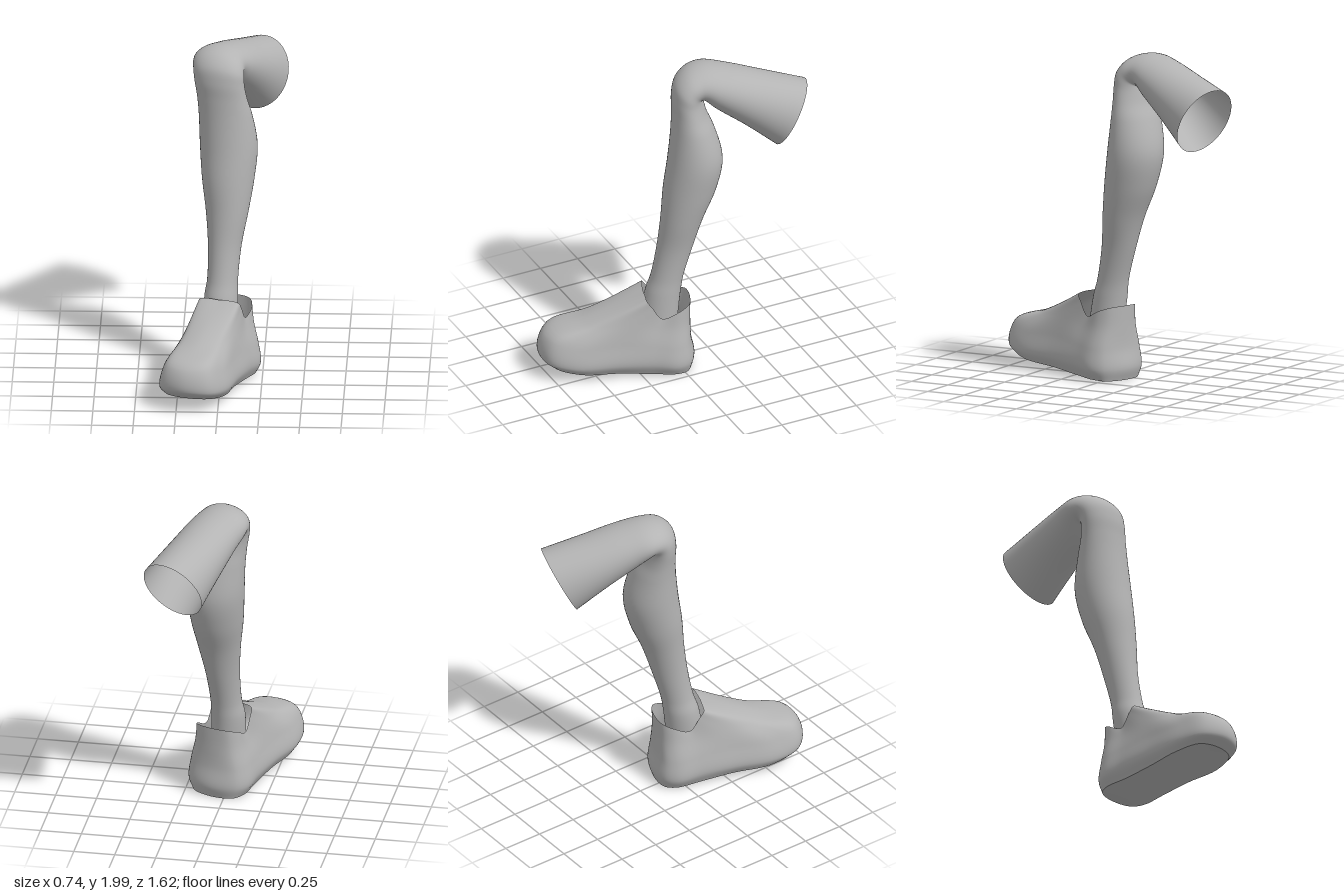
import * as THREE from 'three';

const grey = new THREE.MeshStandardMaterial({ color: 0xb4b4b4, side: THREE.DoubleSide });
grey.name = 'plain grey';

// Smooth skin through closed rings of points that all have the same count
function loft(rings, steps) {
  const n = rings[0].length, rows = (rings.length - 1) * steps;
  const columns = rings[0].map((_, j) =>
    new THREE.CatmullRomCurve3(rings.map((r) => r[j]), false, 'centripetal'));
  const pos = [], index = [];
  for (let i = 0; i <= rows; i++) {
    for (const column of columns) pos.push(...column.getPoint(i / rows).toArray());
  }
  for (let i = 0; i < rows; i++) {
    for (let j = 0; j < n; j++) {
      const a = i * n + j, b = i * n + (j + 1) % n;
      index.push(a, a + n, b, b, a + n, b + n);
    }
  }
  const geo = new THREE.BufferGeometry();
  geo.setAttribute('position', new THREE.Float32BufferAttribute(pos, 3));
  geo.setIndex(index);
  geo.computeVertexNormals();
  return geo;
}

// Leg sections from ankle to cut thigh: front z, y; back z, y; centre x, half width
const LEG = [
  [0.18, 0.34, -0.03, 0.34, 0, 0.1],
  [0.15, 0.5, -0.05, 0.5, 0, 0.1],
  [0.12, 0.6, -0.065, 0.6, 0.008, 0.092],
  [0.083, 0.8, -0.12, 0.8, 0.02, 0.1],
  [0.06, 1.0, -0.18, 1.0, 0.033, 0.128],
  [0.04, 1.2, -0.26, 1.2, 0.038, 0.158],
  [0.01, 1.4, -0.3, 1.4, 0.04, 0.175],
  [-0.015, 1.6, -0.26, 1.6, 0.02, 0.166],
  [-0.025, 1.72, -0.225, 1.7, 0, 0.158],
  [-0.03, 1.82, -0.212, 1.77, -0.015, 0.158],
  [-0.052, 1.91, -0.21, 1.79, -0.02, 0.162],
  [-0.12, 1.975, -0.213, 1.795, -0.022, 0.165],
  [-0.22, 2.0, -0.227, 1.785, -0.015, 0.167],
  [-0.36, 1.98, -0.28, 1.73, 0.03, 0.173],
  [-0.58, 1.92, -0.45, 1.6, 0.115, 0.185],
  [-0.8, 1.86, -0.615, 1.46, 0.2, 0.195],
];

function legRing([zf, yf, zb, yb, cx, w]) {
  const cz = (zf + zb) / 2, cy = (yf + yb) / 2;
  const dz = (zf - zb) / 2, dy = (yf - yb) / 2;
  return Array.from({ length: 48 }, (_, i) => {
    const c = Math.cos(i / 48 * Math.PI * 2), s = Math.sin(i / 48 * Math.PI * 2);
    // Sections are turned slightly outwards, like the foot
    return new THREE.Vector3(
      cx + 0.93 * w * c - 0.39 * dz * s, cy + dy * s, cz + 0.36 * w * c + dz * s);
  });
}

// Shoe rings from sole edge to collar; half outline from toe to heel: side, along, y
const SHOE = [
  [[0, 0.89, 0.09], [0.13, 0.85, 0.085], [0.18, 0.7, 0.062], [0.165, 0.48, 0.045],
    [0.165, 0.27, 0.025], [0.17, 0.12, 0.015], [0.13, 0.05, 0.01], [0, 0.02, 0.008]],
  [[0, 0.95, 0.15], [0.15, 0.895, 0.14], [0.205, 0.74, 0.12], [0.195, 0.48, 0.11],
    [0.195, 0.27, 0.1], [0.2, 0.12, 0.08], [0.15, 0.04, 0.08], [0, 0, 0.08]],
  [[0, 0.91, 0.28], [0.13, 0.86, 0.28], [0.18, 0.72, 0.24], [0.175, 0.46, 0.24],
    [0.18, 0.26, 0.22], [0.185, 0.12, 0.2], [0.14, 0.05, 0.2], [0, 0.02, 0.2]],
  [[0, 0.67, 0.365], [0.1, 0.64, 0.36], [0.135, 0.56, 0.36], [0.15, 0.38, 0.37],
    [0.15, 0.24, 0.33], [0.152, 0.11, 0.33], [0.11, 0.05, 0.33], [0, 0.025, 0.33]],
  [[0, 0.31, 0.52], [0.08, 0.305, 0.52], [0.125, 0.3, 0.51], [0.132, 0.27, 0.47],
    [0.135, 0.21, 0.39], [0.14, 0.11, 0.43], [0.1, 0.045, 0.455], [0, 0.025, 0.46]],
];

// Place a shoe point along the turned-out foot
function footPoint([s, d, y]) {
  const side = s - 0.013;
  return new THREE.Vector3(0.1 - 0.32 * d + 0.947 * side, y, -0.11 + 0.947 * d + 0.32 * side);
}

function shoeRing(half) {
  const first = half.map(([s, d, y]) => [-s, d, y]);
  const second = half.slice(1, -1).reverse();
  const curve = new THREE.CatmullRomCurve3([...first, ...second].map(footPoint), true, 'centripetal');
  return Array.from({ length: 84 }, (_, i) => curve.getPoint(i / 84));
}

export function createModel() {
  const group = new THREE.Group();
  const add = (name, geometry) => {
    const mesh = new THREE.Mesh(geometry, grey);
    mesh.name = name;
    group.add(mesh);
  };

  // Bent leg, open at the thigh
  add('leg', loft(LEG.map(legRing), 6));

  // Shoe upper with an open collar
  add('shoeUpper', loft(SHOE.map(shoeRing), 8));

  // Sole: the lower outline closed onto the foot's middle line
  const middle = SHOE[0].map(([s, d, y]) => [0, 0.45 + (d - 0.45) * 0.8, y]);
  add('shoeSole', loft([shoeRing(middle), shoeRing(SHOE[0])], 4));

  return group;
}
